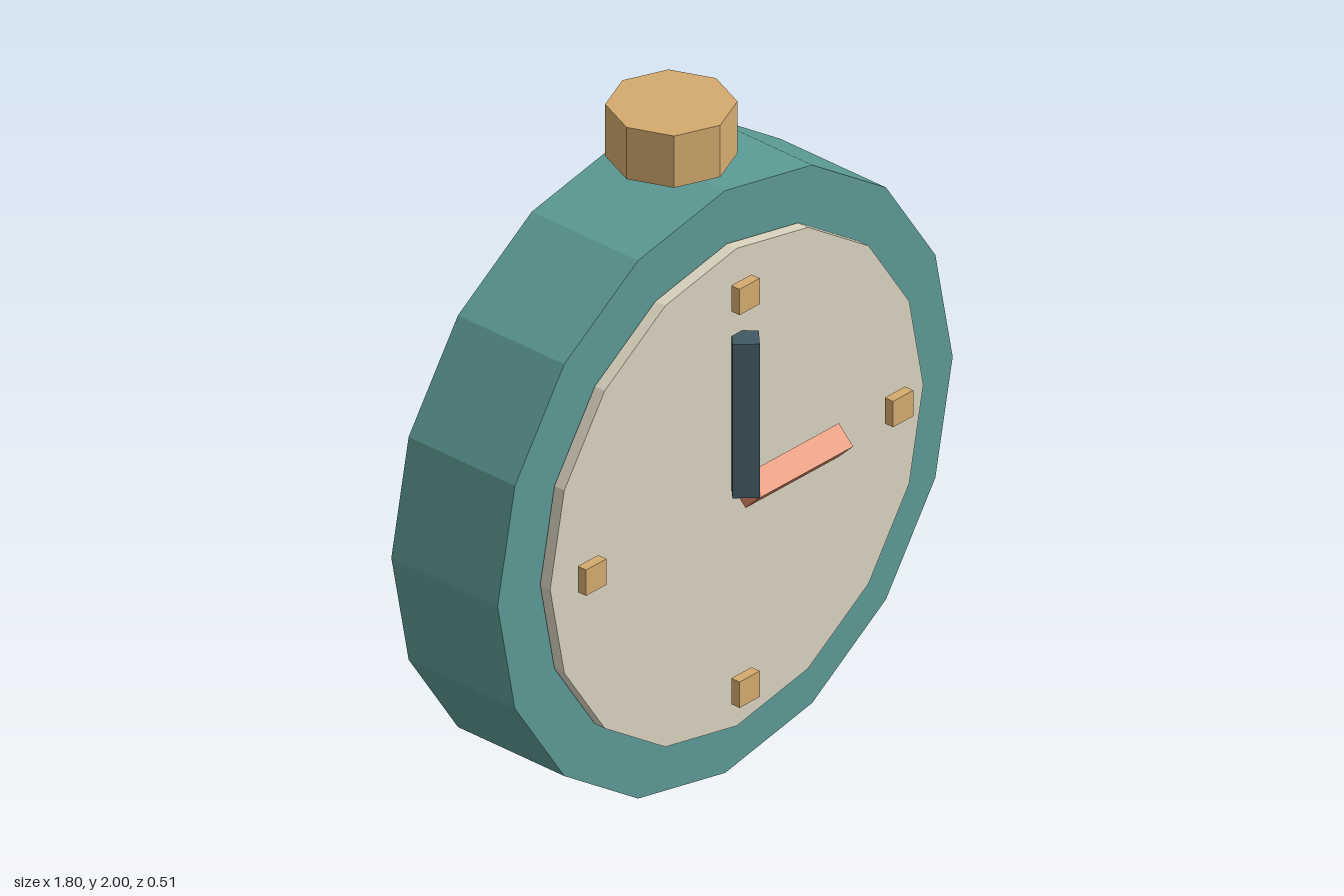
import * as THREE from 'three';

const mat = (name, color) => {
  const m = new THREE.MeshStandardMaterial({ color, flatShading: true });
  m.name = name;
  return m;
};

export function createModel() {
  const teal = mat('teal', 0x5c9a95);
  const cream = mat('cream', 0xd9d2be);
  const brass = mat('brass', 0xd4aa6e);
  const slate = mat('slate', 0x405863);
  const coral = mat('coral', 0xdb8762);

  const clock = new THREE.Group();
  clock.name = 'clock';
  const centreY = 0.905;

  const add = (name, geometry, material, x, y, z) => {
    const mesh = new THREE.Mesh(geometry, material);
    mesh.name = name;
    mesh.position.set(x, y, z);
    clock.add(mesh);
    return mesh;
  };
  const prism = (radius, height, sides) => new THREE.CylinderGeometry(radius, radius, height, sides);

  // Sixteen-sided case and the dial floating just in front of it
  add('case', prism(0.9, 0.385, 16).rotateX(Math.PI / 2), teal, 0, centreY, -0.0625);
  add('dial', prism(0.738, 0.036, 16).rotateX(Math.PI / 2), cream, 0, centreY, 0.154);

  // Octagonal knob above the case
  add('knob', prism(0.177, 0.16, 8), brass, 0, 1.92, -0.065);

  // Hour markers at the four quarters
  for (let i = 0; i < 4; i++) {
    const a = (i * Math.PI) / 2;
    add('hourMarker', new THREE.BoxGeometry(0.08, 0.08, 0.03), brass,
      0.607 * Math.sin(a), centreY + 0.607 * Math.cos(a), 0.204);
  }

  // Diamond-section hands, both starting at the centre
  add('minuteHand', prism(0.052, 0.475, 4), slate, 0, centreY + 0.2375, 0.204);
  add('hourHand', prism(0.052, 0.369, 4).rotateZ(-Math.PI / 2), coral, 0.1845, centreY, 0.204);

  return clock;
}
